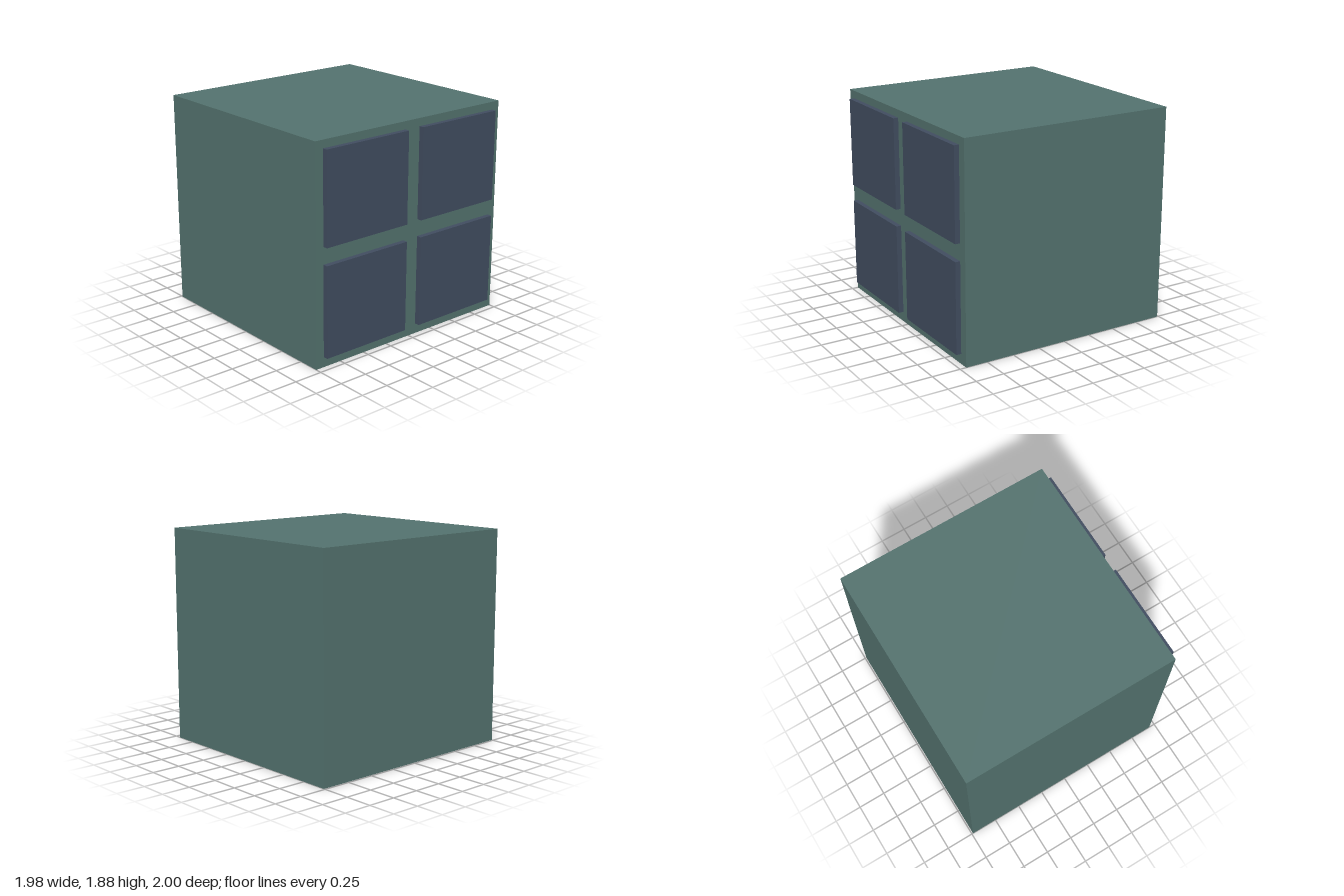
import * as THREE from 'three';

function addBox(parent, name, material, min, max) {
  const size = max.map((v, i) => v - min[i]);
  const mesh = new THREE.Mesh(new THREE.BoxGeometry(...size), material);
  mesh.position.set(...max.map((v, i) => (v + min[i]) / 2));
  mesh.name = name;
  parent.add(mesh);
  return mesh;
}

export function createModel() {
  const model = new THREE.Group();
  model.name = 'panelledBlock';
  const bodyMaterial = new THREE.MeshStandardMaterial({ color: 0x54736f, flatShading: true });
  const panelMaterial = new THREE.MeshStandardMaterial({ color: 0x414d60, flatShading: true });

  // Main block
  const faceX = 0.944;
  addBox(model, 'body', bodyMaterial, [-0.988, 0, -1], [faceX, 1.88, 1]);

  // Four raised panels on the +x side, in two rows and two columns
  const panels = new THREE.Group();
  panels.name = 'panels';
  model.add(panels);
  for (const [row, y0, y1] of [['lower', 0.088, 0.876], ['upper', 1.024, 1.812]]) {
    for (const [column, z0, z1] of [['Front', 0.078, 0.922], ['Back', -0.922, -0.078]]) {
      addBox(panels, `${row}${column}Panel`, panelMaterial, [faceX - 0.01, y0, z0], [0.988, y1, z1]);
    }
  }
  return model;
}
